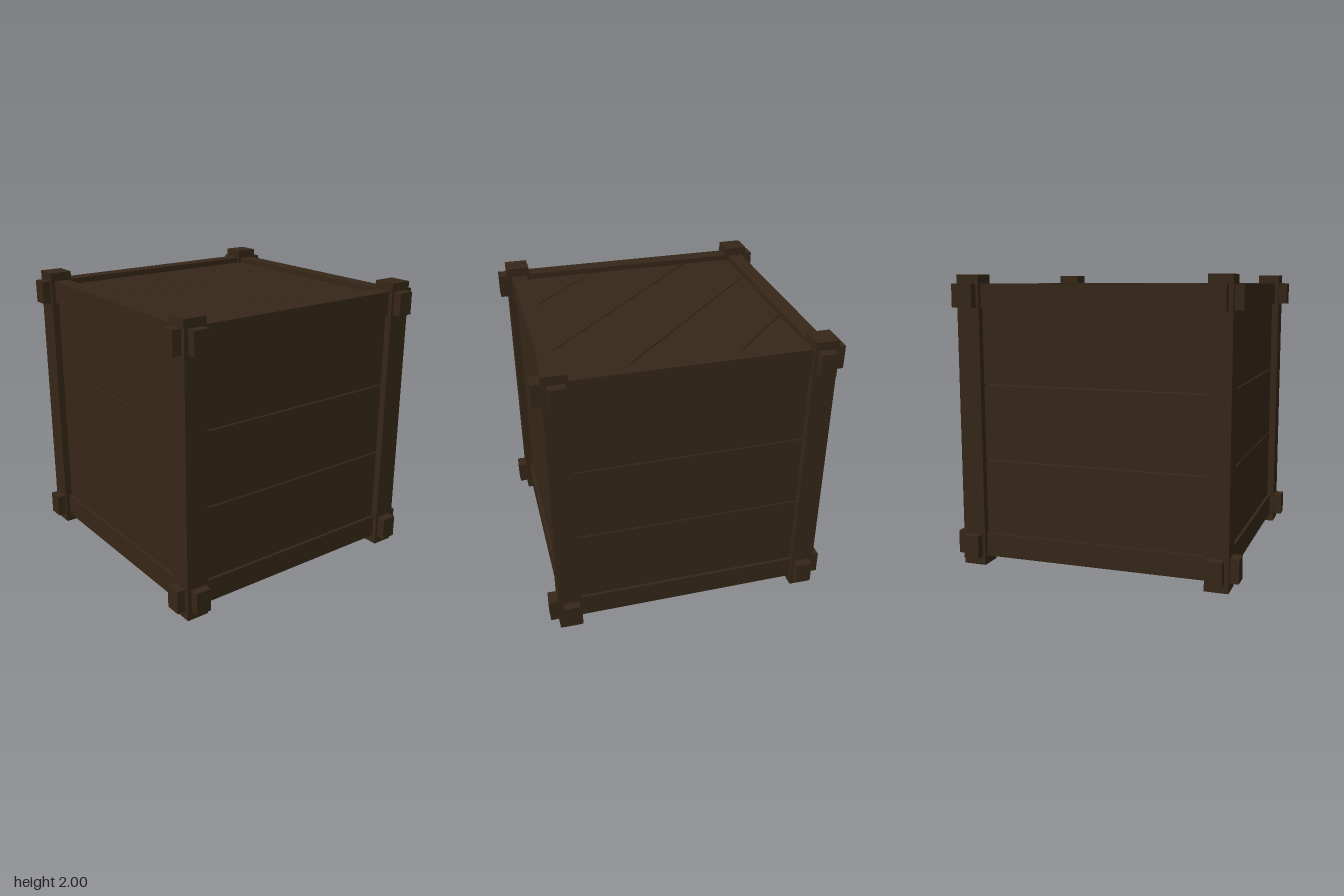
import * as THREE from 'three';

const wood = new THREE.MeshStandardMaterial({ color: 0x362718, flatShading: true });

const POST = 0.86;   // centre of posts from the axis
const BEAM = 0.855;  // centre of beams from the axis
const H = 0.8;       // half width of the lid and floor panels
const GAP = 0.006;   // slit between planks

function add(parent, name, geometry, x = 0, y = 0, z = 0) {
  const mesh = new THREE.Mesh(geometry, wood);
  mesh.name = name;
  mesh.position.set(x, y, z);
  parent.add(mesh);
  return mesh;
}

// The two points where the diagonal x + z = s crosses the panel's edge
function diagonal(s) {
  return s <= 0 ? [[-H, s + H], [s + H, -H]] : [[s - H, H], [H, s - H]];
}

// Diagonal plank lying between the lines x + z = a and x + z = b
function diagonalPlank(a, b, thickness) {
  const [a1, a2] = diagonal(a);
  const [b1, b2] = diagonal(b);
  const middle = a < 0 && b > 0;
  const loop = [a1, a2, ...(middle ? [[H, -H]] : []), b2, b1, ...(middle ? [[-H, H]] : [])];
  const points = loop
    .filter((p, i) => {
      const q = loop[(i + 1) % loop.length];
      return Math.hypot(p[0] - q[0], p[1] - q[1]) > 1e-6;
    })
    .map(([x, z]) => new THREE.Vector2(x, z));
  const geometry = new THREE.ExtrudeGeometry(new THREE.Shape(points), { depth: thickness, bevelEnabled: false });
  return geometry.rotateX(Math.PI / 2).translate(0, thickness / 2, 0);
}

// Lid or floor made of five diagonal planks
function diagonalPanel(name, y) {
  const panel = new THREE.Group();
  panel.name = name;
  const cuts = [-2 * H, -1.1, -0.367, 0.367, 1.1, 2 * H];
  const g = GAP * Math.SQRT1_2;
  for (let i = 0; i < 5; i++) {
    const a = cuts[i] + (i > 0 ? g : 0);
    const b = cuts[i + 1] - (i < 4 ? g : 0);
    add(panel, 'diagonalPlank', diagonalPlank(a, b, 0.07));
  }
  panel.position.y = y;
  return panel;
}

export function createModel() {
  const crate = new THREE.Group();
  crate.name = 'crate';

  // Corner posts
  const postGeometry = new THREE.BoxGeometry(0.16, 2, 0.16);
  for (const x of [-POST, POST])
    for (const z of [-POST, POST]) add(crate, 'cornerPost', postGeometry, x, 1, z);

  // Four identical sides: two beams whose ends pass through the posts, three planks
  const beamGeometry = new THREE.BoxGeometry(2, 0.16, 0.11);
  const plankGeometry = new THREE.BoxGeometry(1.6, 0.52 - GAP, 0.07);
  for (let i = 0; i < 4; i++) {
    const side = new THREE.Group();
    side.name = ['frontSide', 'leftSide', 'backSide', 'rightSide'][i];
    for (const y of [0.14, 1.86]) add(side, 'beam', beamGeometry, 0, y, BEAM);
    for (let k = 0; k < 3; k++) {
      // Outer planks touch the beams, so only the two middle slits stay open
      add(side, 'sidePlank', plankGeometry, 0, 0.48 + k * 0.52 + (k - 1) * GAP / 2, BEAM);
    }
    side.rotation.y = i * Math.PI / 2;
    crate.add(side);
  }

  // Recessed lid and floor
  crate.add(diagonalPanel('lid', 1.865), diagonalPanel('floor', 0.135));
  return crate;
}
